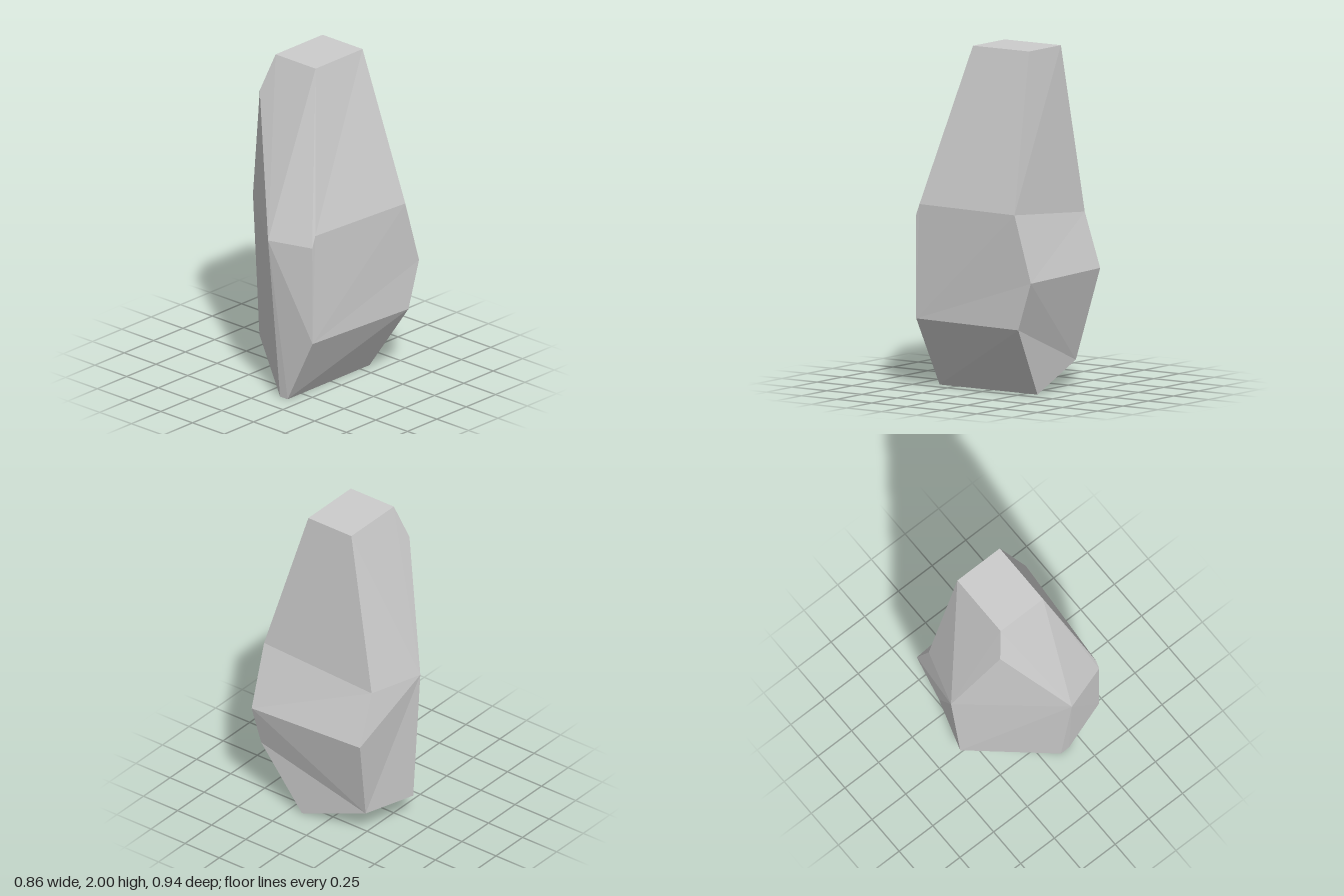
import * as THREE from 'three';

// Corners of the boulder, ring by ring from the top down
const P = {
  topBackR: [-0.15, 2, -0.27], topBackL: [0.165, 2, -0.27],
  topFrontL: [0.165, 2, 0.13], topFrontR: [-0.15, 2, 0.13],
  chip: [-0.21, 1.78, 0.2],
  frontRidge: [0.105, 1.01, 0.47], frontL: [0.375, 1.01, 0.386], sideFront: [0.375, 1.08, 0.36],
  sideBack: [0.425, 1.08, -0.353], sideR: [-0.43, 1.01, 0.02], backR: [-0.33, 1.01, -0.31],
  bulgeL: [0.425, 0.69, -0.47], bulgeR: [-0.33, 0.69, -0.42],
  lowBack: [0.425, 0.41, -0.38], lowFront: [0.375, 0.41, 0.383],
  footR: [-0.37, 0.15, 0.03], footBackR: [-0.27, 0.15, -0.29],
  footBackL: [0.165, 0, -0.33], footFrontL: [0.165, 0, 0.368], footFrontR: [0.105, 0, 0.368],
};

// Each facet is a fan around its first corner
const facets = [
  'topBackR topFrontR topFrontL topBackL',
  // front
  'frontRidge chip topFrontR topFrontL', 'topFrontL frontRidge frontL sideFront',
  'frontRidge footFrontR footFrontL lowFront frontL',
  // front right
  'chip sideR frontRidge', 'frontRidge sideR footR footFrontR',
  // right side
  'sideR chip topFrontR topBackR backR', 'sideR backR bulgeR footBackR footR',
  // back
  'topBackR topBackL sideBack backR', 'backR sideBack bulgeL bulgeR',
  'footBackR bulgeR bulgeL lowBack footBackL',
  // left side
  'topBackL topFrontL sideFront sideBack',
  'lowFront lowBack bulgeL sideBack sideFront frontL',
  'lowBack lowFront footFrontL footBackL',
  // underside
  'footBackR footR footFrontR footFrontL footBackL',
];

function facetedGeometry() {
  const centre = new THREE.Vector3(0, 0.9, 0);
  const positions = [];
  for (const facet of facets) {
    const corners = facet.split(' ').map((n) => new THREE.Vector3(...P[n]));
    for (let i = 1; i < corners.length - 1; i++) {
      const tri = [corners[0], corners[i], corners[i + 1]];
      // turn every triangle outwards
      const normal = new THREE.Triangle(...tri).getNormal(new THREE.Vector3());
      if (normal.dot(tri[0].clone().sub(centre)) < 0) tri.reverse();
      tri.forEach((v) => positions.push(v.x, v.y, v.z));
    }
  }
  const geometry = new THREE.BufferGeometry();
  geometry.setAttribute('position', new THREE.Float32BufferAttribute(positions, 3));
  geometry.computeVertexNormals();
  return geometry;
}

export function createModel() {
  const stone = new THREE.MeshStandardMaterial({ color: 0xcccccc });
  stone.name = 'stone grey';
  const boulder = new THREE.Mesh(facetedGeometry(), stone);
  boulder.name = 'boulder';
  const group = new THREE.Group();
  group.name = 'rock';
  group.add(boulder);
  return group;
}
